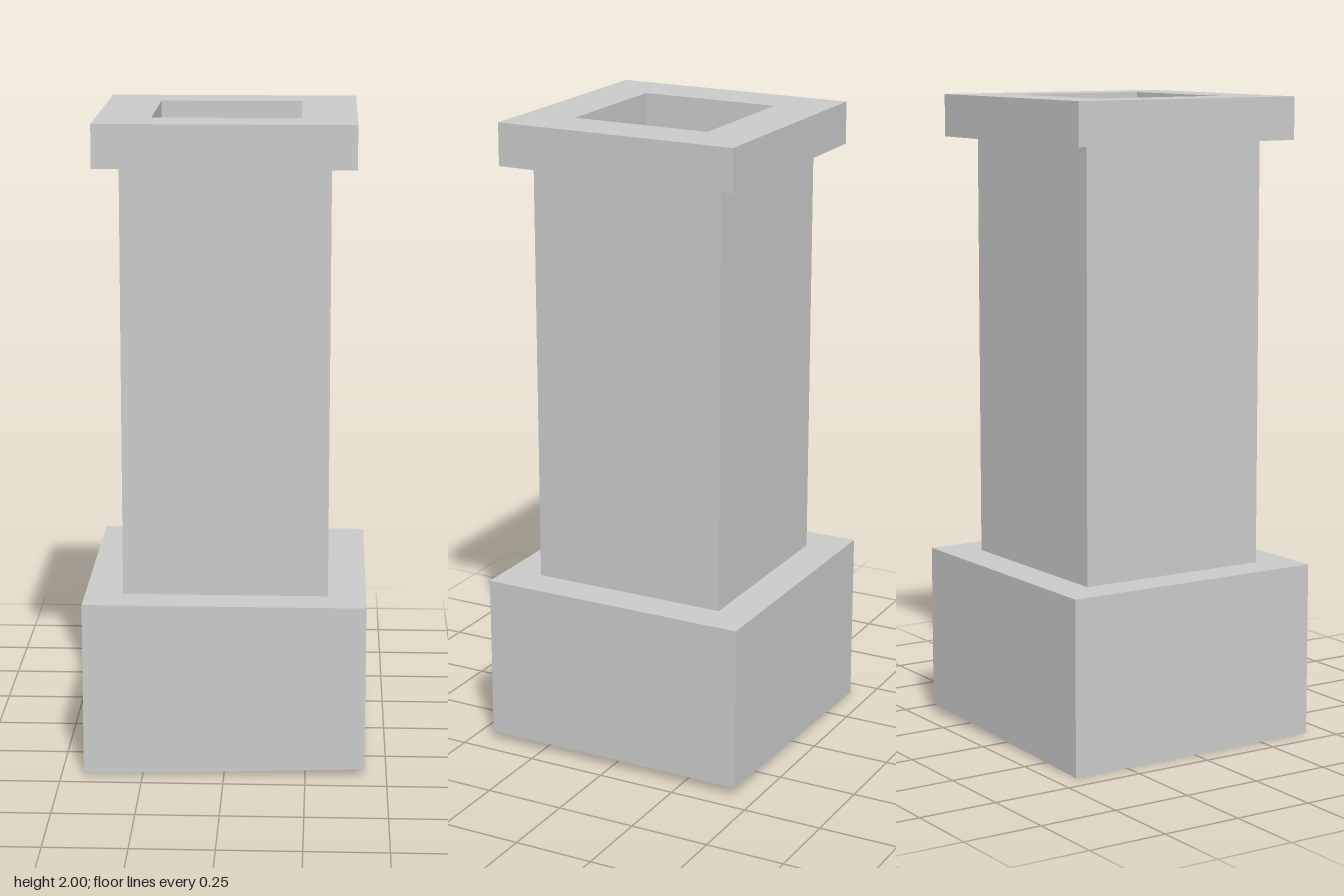
import * as THREE from 'three';

const material = new THREE.MeshStandardMaterial({ color: 0xcccccc, flatShading: true });
const FLUE = 0.223; // half width of the square flue

function squarePoints(h) {
  return [[-h, -h], [h, -h], [h, h], [-h, h]].map(([x, y]) => new THREE.Vector2(x, y));
}

// Upright square tube with the flue running through it
function squareTube(name, half, bottom, top) {
  const shape = new THREE.Shape(squarePoints(half));
  shape.holes.push(new THREE.Path(squarePoints(FLUE).reverse()));
  const geometry = new THREE.ExtrudeGeometry(shape, { depth: top - bottom, bevelEnabled: false });
  geometry.rotateX(-Math.PI / 2).translate(0, bottom, 0);
  const mesh = new THREE.Mesh(geometry, material);
  mesh.name = name;
  return mesh;
}

// Solid block whose underside rises towards +x, to sit on a slope
function slopedBase(half, top, rise) {
  const geometry = new THREE.BoxGeometry(half * 2, top, half * 2).translate(0, top / 2, 0);
  const p = geometry.attributes.position;
  for (let i = 0; i < p.count; i++) {
    if (p.getY(i) < 0.01 && p.getX(i) > 0) p.setY(i, rise);
  }
  geometry.computeVertexNormals();
  const mesh = new THREE.Mesh(geometry, material);
  mesh.name = 'base';
  return mesh;
}

export function createModel() {
  const chimney = new THREE.Group();
  chimney.name = 'chimney';
  chimney.add(
    slopedBase(0.432, 0.545, 0.027),
    squareTube('shaft', 0.315, 0.545, 1.868),
    squareTube('cap', 0.39, 1.868, 2),
  );
  return chimney;
}
